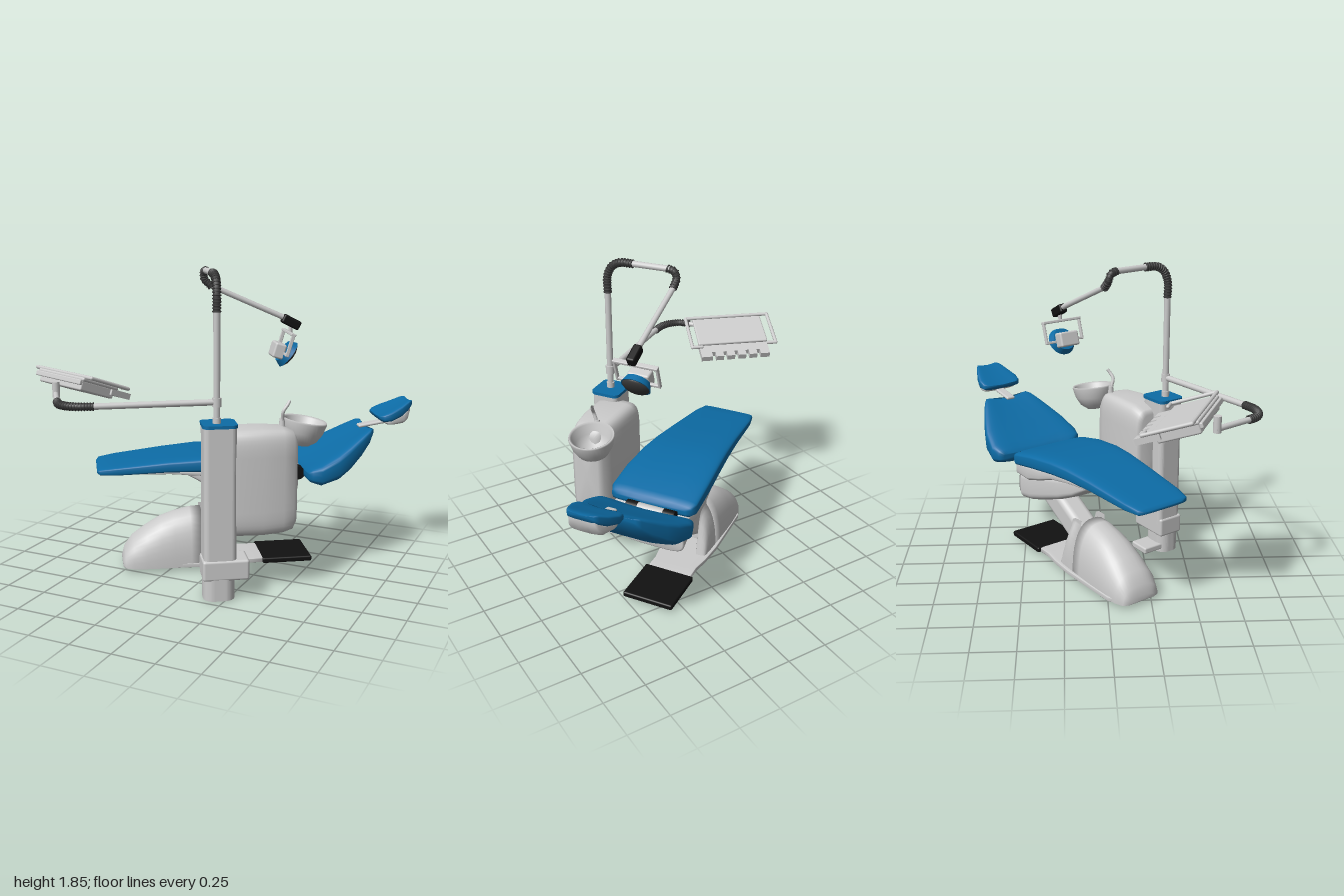
import * as THREE from 'three';
import { RoundedBoxGeometry } from 'three/addons/geometries/RoundedBoxGeometry.js';

const mat = (color) => new THREE.MeshStandardMaterial({ color });
const V = (x, y, z) => new THREE.Vector3(x, y, z);

export function createModel() {
  const grey = mat(0xcccccc), blue = mat(0x0d6ca6), black = mat(0x111111), dark = mat(0x3a3a3a);
  const greyOpen = mat(0xcccccc);
  greyOpen.side = THREE.DoubleSide;

  const model = new THREE.Group();
  const turned = new THREE.Group(); // chair frame: +x towards the head
  turned.name = 'chairAndUnit';
  turned.rotation.y = 0.581;
  model.add(turned);

  const add = (parent, name, geo, material, x = 0, y = 0, z = 0) => {
    const m = new THREE.Mesh(geo, material);
    m.name = name;
    m.position.set(x, y, z);
    parent.add(m);
    return m;
  };
  const box = (w, h, d, r = 0.01) => new RoundedBoxGeometry(w, h, d, 3, r);

  // Superellipse sections along x; rows are [x, top, bottom, halfWidth].
  // side (+1/-1) keeps only the part of the section beyond z = inner on that side.
  const loft = (rows, zc, n, { floor = -1, dish = 0, side = 0, inner = 0 } = {}) => {
    const S = 40, pos = [], idx = [];
    const pw = (t) => Math.sign(t) * Math.abs(t) ** (2 / n);
    for (const [x, top, bot, w] of rows) {
      for (let j = 0; j < S; j++) {
        const a = (j / S) * Math.PI * 2, c = pw(Math.cos(a)), s = pw(Math.sin(a));
        let y = (top + bot) / 2 + ((top - bot) / 2) * s;
        if (s > 0) y -= dish * (1 - c * c);
        const z = side ? side * Math.max(side * w * c, inner) : w * c;
        pos.push(x, Math.max(y, floor), zc + z);
      }
    }
    const last = rows.length - 1;
    for (let i = 0; i < last; i++) {
      for (let j = 0; j < S; j++) {
        const a = i * S + j, b = i * S + ((j + 1) % S);
        idx.push(a, a + S, b, b, a + S, b + S);
      }
    }
    for (const i of [0, last]) {
      const c = pos.length / 3, [x, top, bot] = rows[i];
      pos.push(x, Math.max((top + bot) / 2, floor), zc + side * inner);
      for (let j = 0; j < S; j++) {
        const a = i * S + j, b = i * S + ((j + 1) % S);
        if (i === 0) idx.push(c, a, b); else idx.push(c, b, a);
      }
    }
    const g = new THREE.BufferGeometry();
    g.setAttribute('position', new THREE.Float32BufferAttribute(pos, 3));
    g.setIndex(idx);
    g.computeVertexNormals();
    return g;
  };

  // Upright prism with a rounded rectangular plan
  const prism = (w, d, r, h) => {
    const s = new THREE.Shape(), x = w / 2 - r, y = d / 2 - r;
    [[x, y, 0], [-x, y, 1], [-x, -y, 2], [x, -y, 3]].forEach(([cx, cy, q]) =>
      s.absarc(cx, cy, r, (q * Math.PI) / 2, ((q + 1) * Math.PI) / 2));
    return new THREE.ExtrudeGeometry(s, { depth: h, bevelEnabled: false, curveSegments: 6 }).rotateX(-Math.PI / 2);
  };
  const curve = (pts) => new THREE.CatmullRomCurve3(pts, false, 'centripetal');
  const tube = (pts, r, seg = 24) => new THREE.TubeGeometry(curve(pts), seg, r, 12);

  // Ribbed flexible sleeve along a curve
  const bellows = (parent, name, pts, r, count) => {
    const g = new THREE.Group(), c = curve(pts);
    g.name = name;
    add(g, 'sleeve', new THREE.TubeGeometry(c, 24, r, 12), dark);
    for (let i = 0; i <= count; i++) {
      const p = c.getPointAt(i / count);
      const ring = add(g, 'rib', new THREE.TorusGeometry(r, r * 0.22, 6, 16), dark, p.x, p.y, p.z);
      ring.lookAt(p.clone().add(c.getTangentAt(i / count)));
    }
    parent.add(g);
  };

  // Base hump, its two rear cheeks, foot plate and lift arm between the cheeks
  const baseEnd = [-0.08, 0.362, -0.32, 0.152];
  add(turned, 'base', loft([[-0.565, 0.06, 0, 0.09], [-0.55, 0.12, -0.08, 0.125], [-0.5, 0.19, -0.15, 0.145],
    [-0.42, 0.25, -0.22, 0.154], [-0.33, 0.305, -0.27, 0.157], [-0.25, 0.335, -0.3, 0.157], [-0.15, 0.358, -0.32, 0.155],
    baseEnd], -0.14, 2.5, { floor: 0.025 }), grey);
  for (const side of [-1, 1])
    add(turned, 'baseCheek', loft([baseEnd, [-0.02, 0.36, -0.32, 0.15], [0.01, 0.345, -0.31, 0.148], [0.03, 0.29, -0.26, 0.147],
      [0.05, 0.2, -0.17, 0.146], [0.075, 0.06, -0.02, 0.145]], -0.14, 2.5, { floor: 0.025, side, inner: 0.085 }), grey);
  add(turned, 'basePlate', loft([[-0.52, 0.045, 0.02, 0.12], [-0.45, 0.05, 0.02, 0.155], [-0.05, 0.05, 0.02, 0.165],
    [0.1, 0.05, 0.02, 0.155], [0.2, 0.05, 0.02, 0.138], [0.32, 0.05, 0.02, 0.14]], -0.145, 10), grey);
  add(turned, 'footPlate', box(0.31, 0.034, 0.315), black, 0.447, 0.036, -0.147);
  const arm = add(turned, 'liftArm', box(0.66, 0.165, 0.15, 0.04), grey, 0.1, 0.285, -0.14);
  arm.rotation.z = 0.48;

  // Seat underside
  add(turned, 'lowerPan', loft([[-0.23, 0.64, 0.625, 0.07], [-0.12, 0.62, 0.565, 0.09], [0.02, 0.6, 0.475, 0.115],
    [0.14, 0.58, 0.42, 0.14], [0.28, 0.56, 0.37, 0.17], [0.38, 0.54, 0.34, 0.192], [0.46, 0.53, 0.33, 0.203],
    [0.48, 0.53, 0.35, 0.2]], -0.115, 4.5), grey);
  add(turned, 'upperPan', loft([[-0.62, 0.65, 0.633, 0.15], [-0.28, 0.66, 0.63, 0.18], [-0.08, 0.66, 0.615, 0.205],
    [0.08, 0.66, 0.59, 0.225], [0.2, 0.64, 0.545, 0.238], [0.32, 0.63, 0.505, 0.245], [0.46, 0.6, 0.505, 0.235],
    [0.48, 0.59, 0.53, 0.22]], -0.11, 5), grey);

  // Upholstery
  add(turned, 'seatCushion', loft([[-0.71, 0.66, 0.645, 0.13], [-0.695, 0.675, 0.637, 0.17], [-0.6, 0.69, 0.634, 0.19],
    [-0.3, 0.722, 0.645, 0.215], [-0.1, 0.737, 0.645, 0.235], [0.05, 0.737, 0.635, 0.25], [0.25, 0.715, 0.61, 0.265],
    [0.42, 0.677, 0.583, 0.268], [0.46, 0.66, 0.587, 0.25], [0.475, 0.64, 0.605, 0.22]], -0.11, 5), blue);
  add(turned, 'backrest', loft([[0.535, 0.64, 0.58, 0.27], [0.555, 0.67, 0.56, 0.3], [0.61, 0.695, 0.54, 0.317],
    [0.72, 0.755, 0.565, 0.297], [0.8, 0.8, 0.615, 0.26], [0.88, 0.845, 0.69, 0.215], [0.935, 0.872, 0.76, 0.18],
    [0.96, 0.87, 0.82, 0.155]], -0.115, 4, { dish: 0.03 }), blue);
  add(turned, 'headrest', loft([[1.015, 0.93, 0.905, 0.11], [1.035, 0.945, 0.888, 0.135], [1.08, 0.965, 0.888, 0.14],
    [1.15, 0.995, 0.912, 0.117], [1.2, 1.02, 0.945, 0.092], [1.225, 1.02, 0.98, 0.075]], -0.11, 4, { dish: 0.015 }), blue);
  add(turned, 'headrestShell', loft([[1.045, 0.9, 0.885, 0.09], [1.065, 0.91, 0.87, 0.118], [1.1, 0.925, 0.866, 0.12],
    [1.17, 0.95, 0.87, 0.1], [1.2, 0.98, 0.89, 0.085], [1.215, 0.99, 0.94, 0.072]], -0.11, 4), grey);
  const bracket = add(turned, 'headrestBar', box(0.18, 0.02, 0.06), grey, 0.995, 0.862, -0.11);
  bracket.rotation.z = 0.15;

  // Hinge between seat and back
  add(turned, 'hinge', new THREE.CylinderGeometry(0.038, 0.038, 0.16, 20).rotateX(Math.PI / 2), grey, 0.505, 0.595, -0.13);
  for (const s of [-1, 1])
    add(turned, 'hingeEnd', new THREE.CylinderGeometry(0.04, 0.04, 0.07, 20).rotateX(Math.PI / 2), black, 0.505, 0.595, -0.13 + s * 0.115);

  // Unit column
  add(turned, 'columnFoot', prism(0.18, 0.15, 0.06, 0.13), grey, -0.05, 0, 0.42);
  add(turned, 'columnFlange', box(0.14, 0.04, 0.16), grey, -0.05, 0.04, 0.31);
  add(turned, 'columnCollar', box(0.265, 0.12, 0.165, 0.015), grey, -0.014, 0.18, 0.414);
  add(turned, 'column', prism(0.185, 0.165, 0.03, 0.8), grey, -0.046, 0.2, 0.407);
  add(turned, 'columnCap', prism(0.195, 0.18, 0.035, 0.018), blue, -0.046, 1, 0.407);

  // Water unit, bowl and spout
  add(turned, 'waterUnit', loft([[-0.06, 0.92, 0.42, 0.1], [-0.04, 0.95, 0.375, 0.125], [0.03, 0.972, 0.357, 0.14],
    [0.2, 0.975, 0.353, 0.137], [0.32, 0.967, 0.36, 0.122], [0.38, 0.95, 0.375, 0.102], [0.403, 0.91, 0.41, 0.075]], 0.338, 5.5), grey);
  const bowlProfile = [[0, -0.135], [0.05, -0.13], [0.09, -0.1], [0.118, -0.05], [0.132, 0.01], [0.128, 0.02],
    [0.115, 0.012], [0.1, -0.045], [0.075, -0.085], [0.04, -0.108], [0, -0.112]];
  const bowl = add(turned, 'bowl', new THREE.LatheGeometry(bowlProfile.map(([r, y]) => new THREE.Vector2(r, y)), 40),
    greyOpen, 0.475, 0.965, 0.252);
  bowl.rotation.z = -0.17;
  add(model, 'spout', tube([V(0.44, 0.93, 0.06), V(0.445, 1.0, 0.065), V(0.455, 1.05, 0.075), V(0.472, 1.085, 0.055), V(0.478, 1.105, 0.04)], 0.01), greyOpen);
  add(model, 'spoutBase', new THREE.CylinderGeometry(0.014, 0.02, 0.06, 16), grey, 0.441, 0.975, 0.06);

  // Lamp pole and jointed arm
  add(model, 'pole', tube([V(0.18, 1.0, 0.38), V(0.18, 1.64, 0.38)], 0.019), grey);
  add(model, 'poleSocket', new THREE.CylinderGeometry(0.024, 0.024, 0.04, 20), grey, 0.18, 1.03, 0.38);
  bellows(model, 'poleBend', [V(0.18, 1.63, 0.38), V(0.18, 1.72, 0.38), V(0.165, 1.785, 0.355), V(0.135, 1.817, 0.31), V(0.09, 1.822, 0.24)], 0.021, 18);
  add(model, 'lampUpperArm', tube([V(0.1, 1.822, 0.255), V(-0.045, 1.822, 0.05)], 0.018), grey);
  bellows(model, 'lampBend', [V(-0.035, 1.822, 0.065), V(-0.06, 1.81, 0.035), V(-0.065, 1.77, 0.02), V(-0.03, 1.728, 0.0)], 0.02, 9);
  add(model, 'lampLowerArm', tube([V(-0.04, 1.735, 0.005), V(0.35, 1.53, -0.25)], 0.016), grey);
  const joint = add(model, 'lampJoint', box(0.05, 0.055, 0.115, 0.012), black, 0.366, 1.513, -0.26);
  joint.lookAt(0.366 + 0.39, 1.513 - 0.24, -0.26 - 0.255);

  // Lamp head: disc and rear dome in a yoke
  const lamp = new THREE.Group();
  lamp.name = 'lamp';
  lamp.position.set(0.415, 1.335, -0.012);
  turned.add(lamp);
  add(lamp, 'lampStem', new THREE.CylinderGeometry(0.012, 0.012, 0.06, 12), grey, 0.03, 0.14, 0);
  const yoke = new THREE.Group();
  yoke.name = 'yoke';
  yoke.rotation.z = -0.3;
  lamp.add(yoke);
  add(yoke, 'yokeTop', box(0.03, 0.016, 0.27, 0.004), grey, -0.015, 0.118, 0);
  for (const s of [-1, 1]) {
    add(yoke, 'yokeSide', box(0.022, 0.14, 0.014, 0.004), grey, -0.015, 0.056, s * 0.128);
    add(yoke, 'yokePivot', box(0.02, 0.016, 0.07, 0.004), grey, -0.015, -0.005, s * 0.1);
  }
  const head = new THREE.Group();
  head.name = 'lampHead';
  head.rotation.z = -0.65;
  lamp.add(head);
  add(head, 'lampRim', new THREE.CylinderGeometry(0.086, 0.07, 0.04, 32).rotateZ(-Math.PI / 2), blue, 0.005);
  add(head, 'lampDome', new THREE.SphereGeometry(0.08, 28, 16).scale(0.4, 1, 1), dark, 0.02);
  const housing = add(lamp, 'lampHousing', box(0.07, 0.09, 0.13, 0.012), grey, -0.045, 0.015, 0);
  housing.rotation.z = -0.3;

  // Tray arm
  const ty = 1.135;
  add(model, 'trayArmSocket', new THREE.CylinderGeometry(0.027, 0.027, 0.05, 20), grey, 0.18, ty, 0.38);
  add(model, 'trayArm', tube([V(0.18, ty, 0.38), V(-0.38, ty, 0.77)], 0.018), grey);
  bellows(model, 'trayArmBend', [V(-0.37, ty, 0.763), V(-0.44, ty, 0.802), V(-0.51, ty, 0.81), V(-0.57, ty, 0.79), V(-0.615, ty, 0.74)], 0.02, 18);
  add(model, 'trayArmEnd', tube([V(-0.605, ty, 0.755), V(-0.76, ty, 0.54)], 0.016), grey);
  add(model, 'trayPost', new THREE.CylinderGeometry(0.022, 0.022, 0.09, 16), grey, -0.75, 1.16, 0.55);

  // Instrument tray, tilted towards the patient
  const tray = new THREE.Group();
  tray.name = 'instrumentTray';
  tray.rotation.set(-0.35, -0.38, 0, 'YXZ');
  tray.position.set(-0.69, 1.165, 0.365);
  model.add(tray);
  add(tray, 'trayTop', box(0.45, 0.022, 0.26), grey, 0, 0.02, 0.04);
  add(tray, 'trayBody', box(0.41, 0.06, 0.24), grey, 0, -0.015, 0.04);
  add(tray, 'trayBackLip', box(0.44, 0.03, 0.02, 0.006), grey, 0, 0.0, 0.175);
  // Notched instrument holder
  const comb = new THREE.Shape();
  comb.moveTo(-0.22, 0.07).lineTo(-0.22, -0.07);
  for (let i = 0; i < 5; i++) {
    const x = -0.15 + i * 0.072;
    comb.lineTo(x - 0.011, -0.07).lineTo(x - 0.011, -0.03).lineTo(x + 0.011, -0.03).lineTo(x + 0.011, -0.07);
  }
  comb.lineTo(0.22, -0.07).lineTo(0.22, 0.07).closePath();
  const combGeo = new THREE.ExtrudeGeometry(comb, { depth: 0.035, bevelEnabled: false }).rotateX(Math.PI / 2);
  add(tray, 'instrumentHolder', combGeo, grey, 0, 0.012, -0.12);
  // Handle frame around the tray
  const rail = [[-0.21, -0.12], [-0.27, -0.12], [-0.27, 0.15], [0.27, 0.15], [0.27, -0.12], [0.21, -0.12]];
  for (let i = 0; i < rail.length - 1; i++) {
    const [a, b] = [rail[i], rail[i + 1]];
    add(tray, 'handleRail', tube([V(a[0], 0.035, a[1]), V(b[0], 0.035, b[1])], 0.011, 1), grey);
    add(tray, 'handleCorner', new THREE.SphereGeometry(0.011, 12, 8), grey, b[0], 0.035, b[1]);
  }
  return model;
}
